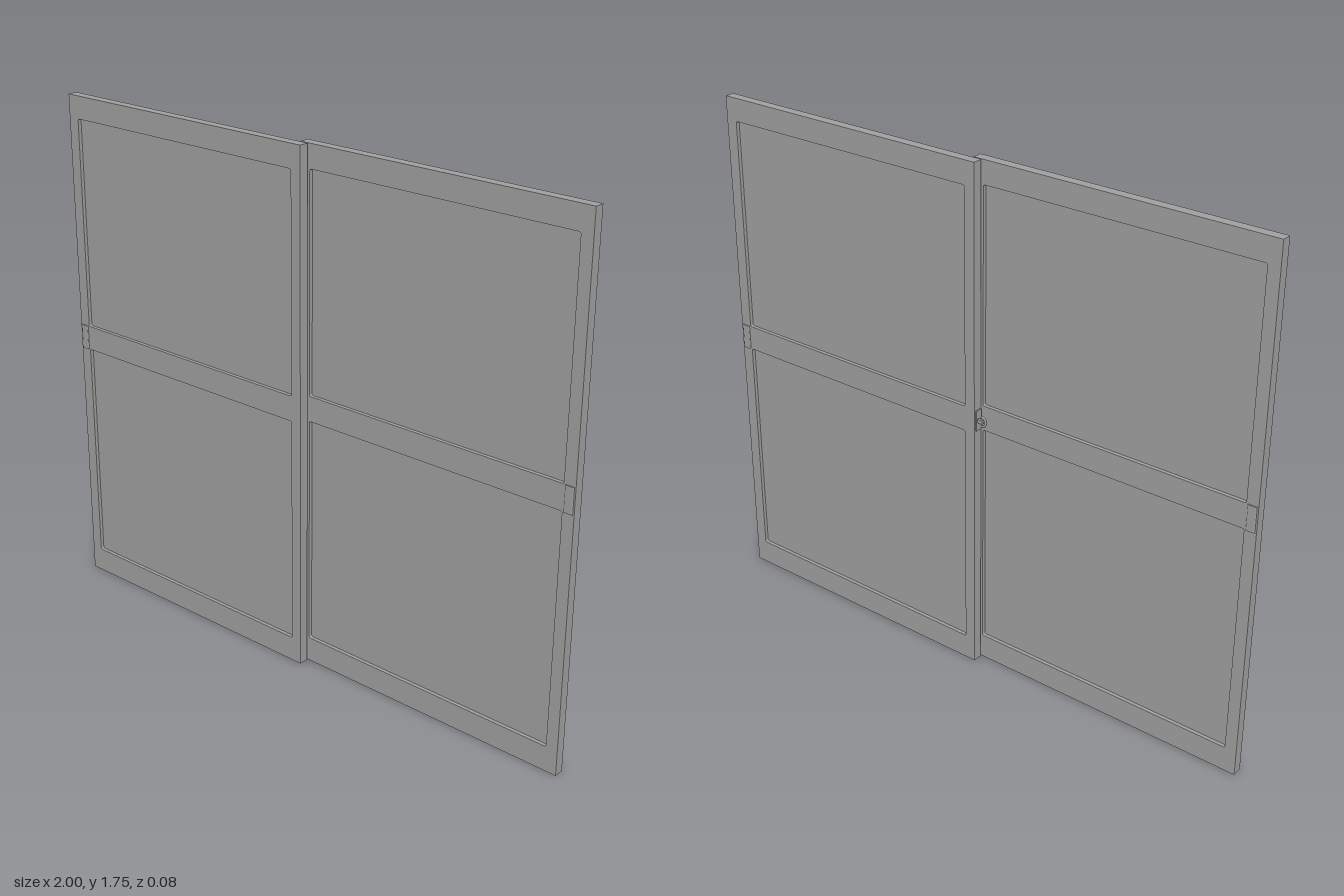
import * as THREE from 'three';

const HEIGHT = 1.75, DEPTH = 0.033;

// Rounded rectangle outline
function roundedRect(target, x0, y0, x1, y1, r) {
  target.moveTo(x0 + r, y0);
  target.lineTo(x1 - r, y0);
  target.quadraticCurveTo(x1, y0, x1, y0 + r);
  target.lineTo(x1, y1 - r);
  target.quadraticCurveTo(x1, y1, x1 - r, y1);
  target.lineTo(x0 + r, y1);
  target.quadraticCurveTo(x0, y1, x0, y1 - r);
  target.lineTo(x0, y0 + r);
  target.quadraticCurveTo(x0, y0, x0 + r, y0);
  return target;
}

export function createModel() {
  const model = new THREE.Group();
  model.name = 'slidingWindow';
  const grey = new THREE.MeshStandardMaterial({ color: 0xa0a0a0 });
  grey.name = 'grey';

  function add(parent, name, geometry, x = 0, y = 0, z = 0) {
    const mesh = new THREE.Mesh(geometry, grey);
    mesh.name = name;
    mesh.position.set(x, y, z);
    parent.add(mesh);
    return mesh;
  }

  // One sash: frame with two openings, recessed panes and an end pull
  function makeSash(name) {
    const sash = new THREE.Group();
    sash.name = name;
    const outline = new THREE.Shape();
    outline.moveTo(-1, 0);
    outline.lineTo(0.016, 0);
    outline.lineTo(0.016, HEIGHT);
    outline.lineTo(-1, HEIGHT);
    outline.closePath();
    for (const [y0, y1] of [[0.085, 0.865], [0.95, 1.673]]) {
      outline.holes.push(roundedRect(new THREE.Path(), -0.96, y0, -0.021, y1, 0.007));
      add(sash, 'pane', new THREE.BoxGeometry(0.949, y1 - y0 + 0.01, 0.008),
        -0.4905, (y0 + y1) / 2, DEPTH / 2);
    }
    add(sash, 'frame', new THREE.ExtrudeGeometry(outline,
      { depth: DEPTH, bevelEnabled: false, curveSegments: 4 }));
    // Pull wraps both faces of the outer stile
    const pull = roundedRect(new THREE.Shape(), -0.995, -0.004, -0.965, DEPTH + 0.004, 0.004);
    const pullGeometry = new THREE.ExtrudeGeometry(pull,
      { depth: 0.085, bevelEnabled: false, curveSegments: 4 });
    pullGeometry.rotateX(Math.PI / 2);
    add(sash, 'pull', pullGeometry, 0, 0.95, 0);
    model.add(sash);
    return sash;
  }

  // Sashes pass each other, the second turned about the centre
  makeSash('frontSash').position.z = 0.002;
  const back = makeSash('backSash');
  back.rotation.y = Math.PI;
  back.position.z = -0.002;

  // Small catch on the back sash's meeting edge
  const latch = new THREE.Group();
  latch.name = 'latch';
  add(latch, 'latchPlate', new THREE.BoxGeometry(0.006, 0.07, 0.024), -0.018, 0.908, -0.018);
  add(latch, 'latchArm', new THREE.BoxGeometry(0.02, 0.014, 0.008), -0.03, 0.908, -0.022);
  const hook = add(latch, 'latchHook',
    new THREE.TorusGeometry(0.017, 0.004, 8, 16, Math.PI), -0.034, 0.908, -0.022);
  hook.rotation.z = Math.PI / 2;
  model.add(latch);

  return model;
}
